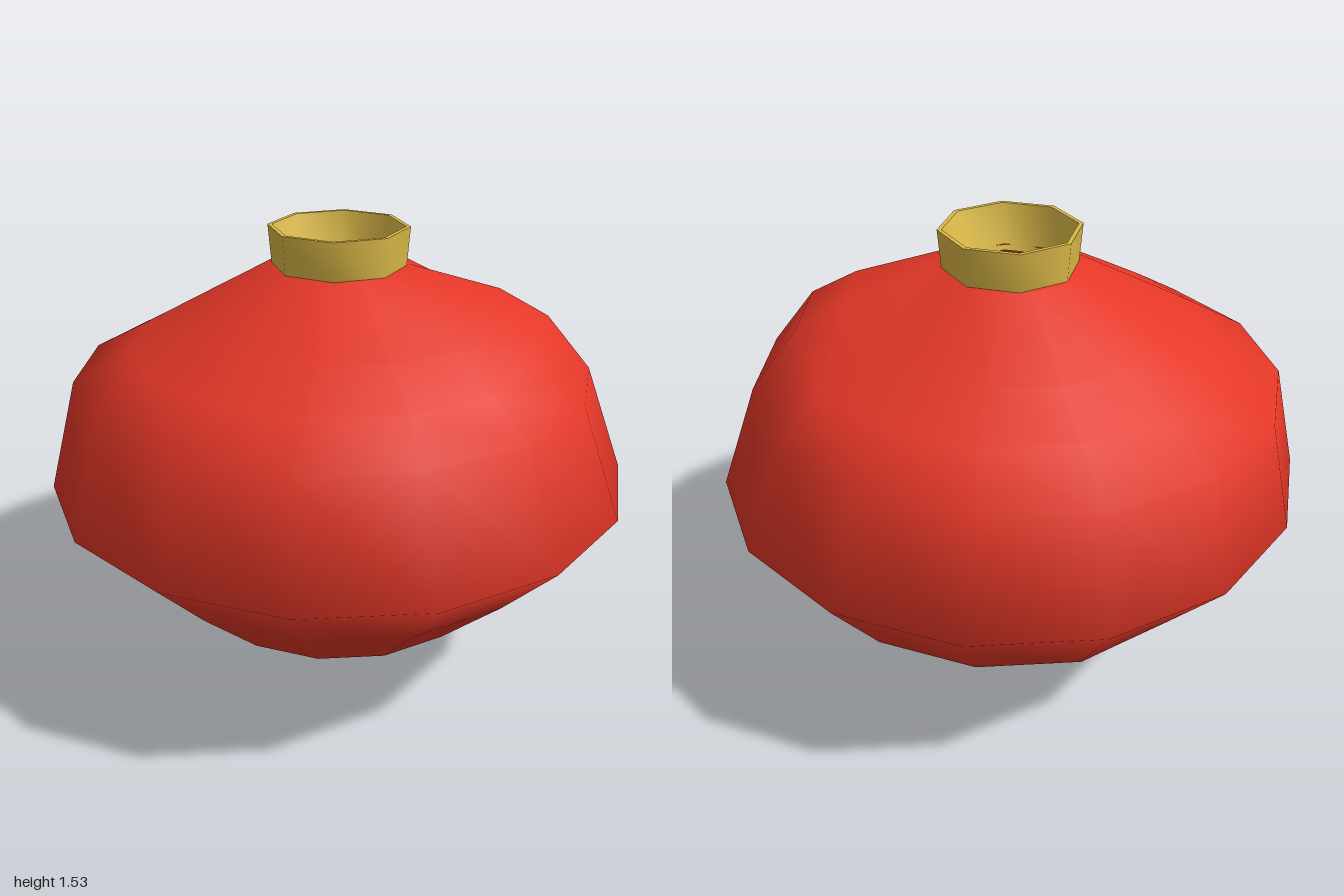
import * as THREE from 'three';
import { mergeVertices, toCreasedNormals } from 'three/addons/utils/BufferGeometryUtils.js';

const red = new THREE.MeshStandardMaterial({ color: 0xe43727, side: THREE.DoubleSide });
red.name = 'red paper';
const gold = new THREE.MeshStandardMaterial({ color: 0xdcba48, side: THREE.DoubleSide });
gold.name = 'gold trim';

const points = (list) => list.map(([r, y]) => new THREE.Vector2(r, y));

// 1 near the direction (dx, dz), falling smoothly to 0 between the two cosines
function toward(x, z, dx, dz, from, to) {
  const cos = (x * dx + z * dz) / (Math.hypot(x, z) * Math.hypot(dx, dz));
  return THREE.MathUtils.smoothstep(cos, from, to);
}

// Faceted round paper body, open at both ends, with slightly uneven rings
function makeBody() {
  const lathe = new THREE.LatheGeometry(points([
    [0.17, 0.125], [0.23, 0.125], [0.54, 0.19], [0.8, 0.44], [1.007, 0.66],
    [0.89, 1.03], [0.71, 1.14], [0.54, 1.235], [0.24, 1.4], [0.17, 1.4],
  ]), 15, Math.PI / 2);
  lathe.deleteAttribute('uv');
  lathe.deleteAttribute('normal');
  const body = mergeVertices(lathe, 1e-4);
  const p = body.attributes.position;
  for (let i = 0; i < p.count; i++) {
    const x = p.getX(i), y = p.getY(i), z = p.getZ(i);
    if (y > 1.1 && y < 1.3) {
      // raised shoulder at the back
      p.setY(i, y + 0.085 * toward(x, z, 1, -0.8, 0.85, 0.95));
    } else if (y > 1 && y < 1.1) {
      // upper ring leans to one side
      p.setX(i, x - 0.03);
    } else if (y > 0.4 && y < 0.5) {
      // fuller lower ring at the back
      p.setY(i, y - 0.06 * toward(x, z, -0.6, -1, 0.5, 0.85));
    } else if (y > 0.15 && y < 0.25) {
      // flattened underside at the back
      p.setY(i, y + 0.08 * toward(x, z, 0.4, -1, 0.55, 0.9));
    }
  }
  body.translate(-0.012, 0, 0);
  body.computeVertexNormals();
  return new THREE.Mesh(body, red);
}

// Thin open collar: narrow lip inside the body, wide rim outside
function makeCollar(innerY, rimY) {
  const profile = points([
    [0.17, innerY], [0.225, innerY], [0.237, rimY], [0.222, rimY], [0.17, innerY],
  ]);
  if (rimY < innerY) profile.reverse();
  const geometry = new THREE.LatheGeometry(profile, 8, Math.PI / 2);
  geometry.translate(-0.012, 0, 0);
  return new THREE.Mesh(toCreasedNormals(geometry, Math.PI / 3.2), gold);
}

export function createModel() {
  const lantern = new THREE.Group();
  lantern.name = 'paperLantern';

  const body = makeBody();
  body.name = 'paperBody';
  const topCollar = makeCollar(1.38, 1.53);
  topCollar.name = 'topCollar';
  const bottomCollar = makeCollar(0.135, 0);
  bottomCollar.name = 'bottomCollar';

  lantern.add(body, topCollar, bottomCollar);
  return lantern;
}
